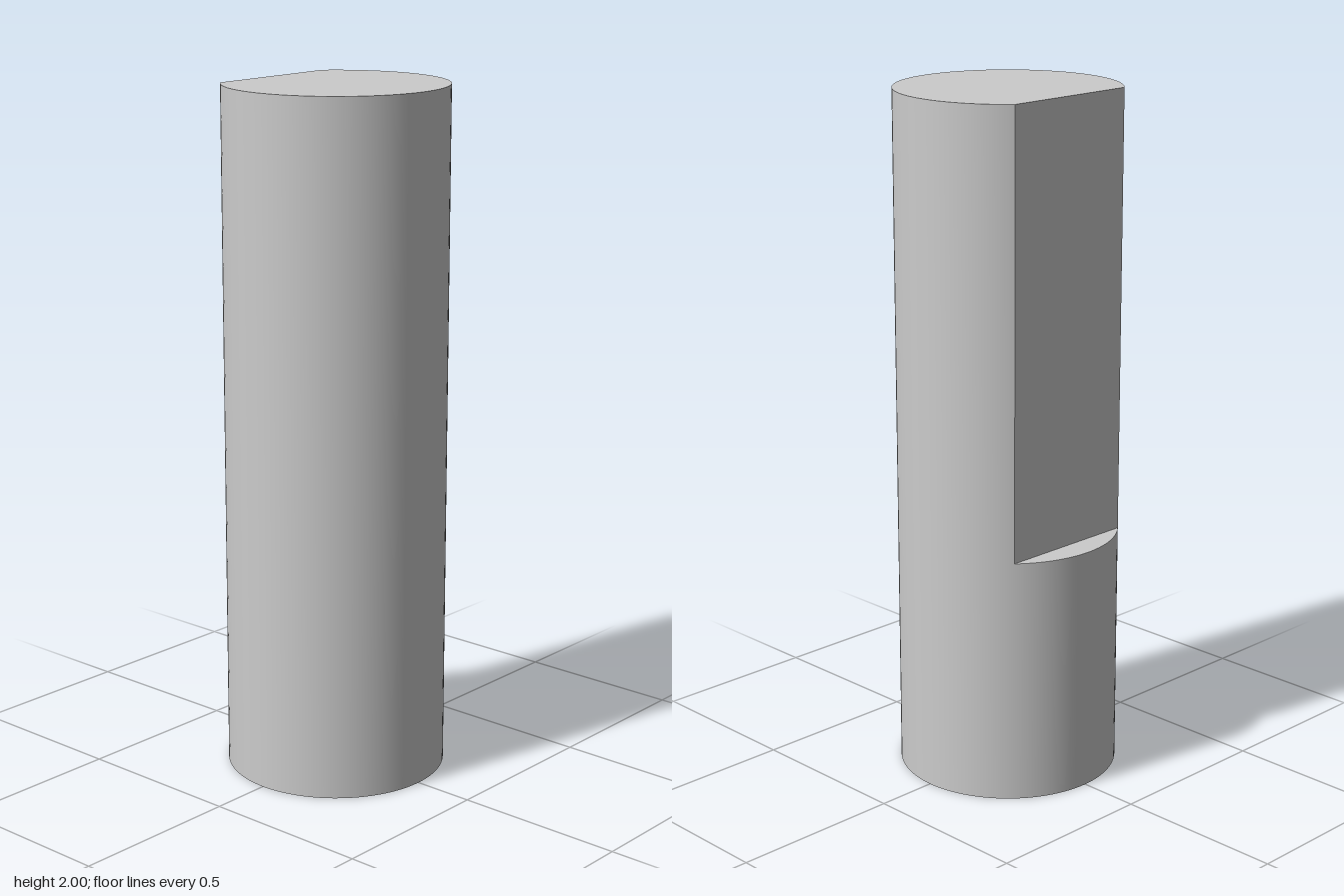
import * as THREE from 'three';

export function createModel() {
  const R = 0.32, H = 2, ledgeY = 0.72, flatZ = -0.24;
  const halfChord = Math.sqrt(R * R - flatZ * flatZ);
  const a = Math.acos(flatZ / R);   // angle from +z to the edge of the flat
  const b = Math.asin(-flatZ / R);  // same edge measured from +x

  const group = new THREE.Group();
  group.name = 'flattedShaft';
  const material = new THREE.MeshStandardMaterial({ color: 0xcccccc });
  const add = (name, geometry, y, z = 0) => {
    const mesh = new THREE.Mesh(geometry, material);
    mesh.name = name;
    mesh.position.set(0, y, z);
    group.add(mesh);
  };

  // Curved wall between two angles, standing on the ground
  const wall = (name, height, segments, start, length) =>
    add(name, new THREE.CylinderGeometry(R, R, height, segments, 1, true, start, length), height / 2);

  // Level face bounded by an arc and its chord, facing up
  const arcFace = (name, y, from, to, segments) => {
    const shape = new THREE.Shape().absarc(0, 0, R, from, to, false);
    add(name, new THREE.ShapeGeometry(shape, segments).rotateX(-Math.PI / 2), y);
  };

  wall('shaftWall', H, 72, -a, 2 * a);
  wall('lowerBackWall', ledgeY, 24, a, 2 * (Math.PI - a));
  arcFace('topFace', H, Math.PI - b, 2 * Math.PI + b, 36);
  arcFace('ledge', ledgeY, b, Math.PI - b, 12);

  // Milled flat on the back
  add('backFlat', new THREE.PlaneGeometry(2 * halfChord, H - ledgeY).rotateY(Math.PI), (H + ledgeY) / 2, flatZ);

  // Round underside
  add('bottomFace', new THREE.CircleGeometry(R, 96).rotateX(Math.PI / 2), 0);

  return group;
}
